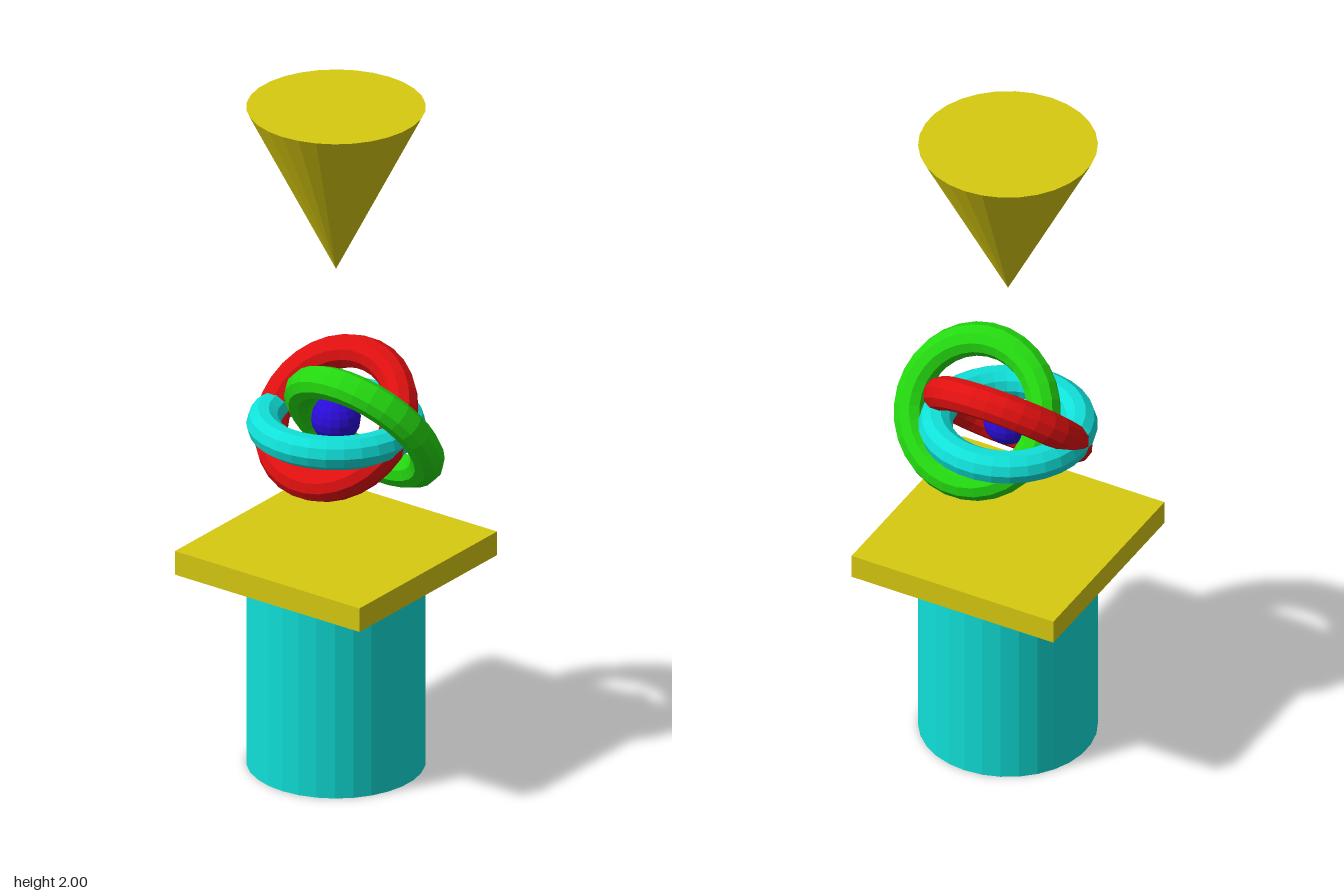
import * as THREE from 'three';

const flat = (name, color) => {
  const m = new THREE.MeshStandardMaterial({ color, flatShading: true });
  m.name = name;
  return m;
};

export function createModel() {
  const yellow = flat('yellow', 0xd8ca10);
  const cyan = flat('cyan', 0x10e0d8);
  const red = flat('red', 0xe01010);
  const green = flat('green', 0x24d810);
  const blue = flat('blue', 0x2a0cd8);

  const group = new THREE.Group();
  const axisX = -0.013; // shared vertical axis of everything but the green ring
  const add = (name, geometry, material, y, x = axisX, z = -0.001) => {
    const mesh = new THREE.Mesh(geometry, material);
    mesh.name = name;
    mesh.position.set(x, y, z);
    group.add(mesh);
    return mesh;
  };

  // Pedestal: round column and square slab
  add('column', new THREE.CylinderGeometry(0.25, 0.25, 0.6, 30), cyan, 0.3);
  add('slab', new THREE.BoxGeometry(0.64, 0.072, 0.64), yellow, 0.636);

  // Inverted cone hanging above
  const cone = add('cone', new THREE.ConeGeometry(0.25, 0.495, 30), yellow, 1.7525);
  cone.rotation.x = Math.PI;

  // Three interlocked rings, each tilted about x
  const ring = (name, material, degrees, y, x, z) => {
    const mesh = add(name, new THREE.TorusGeometry(0.202, 0.048, 10, 30), material, y, x, z);
    mesh.rotation.x = THREE.MathUtils.degToRad(degrees);
  };
  ring('levelRing', cyan, 90, 1.034);
  ring('backTiltedRing', red, -43, 1.049);
  ring('frontTiltedRing', green, 34.5, 1.047, 0.083, -0.004);

  // Small ball in the middle of the rings
  add('coreBall', new THREE.SphereGeometry(0.07, 16, 10), blue, 1.05);

  return group;
}
